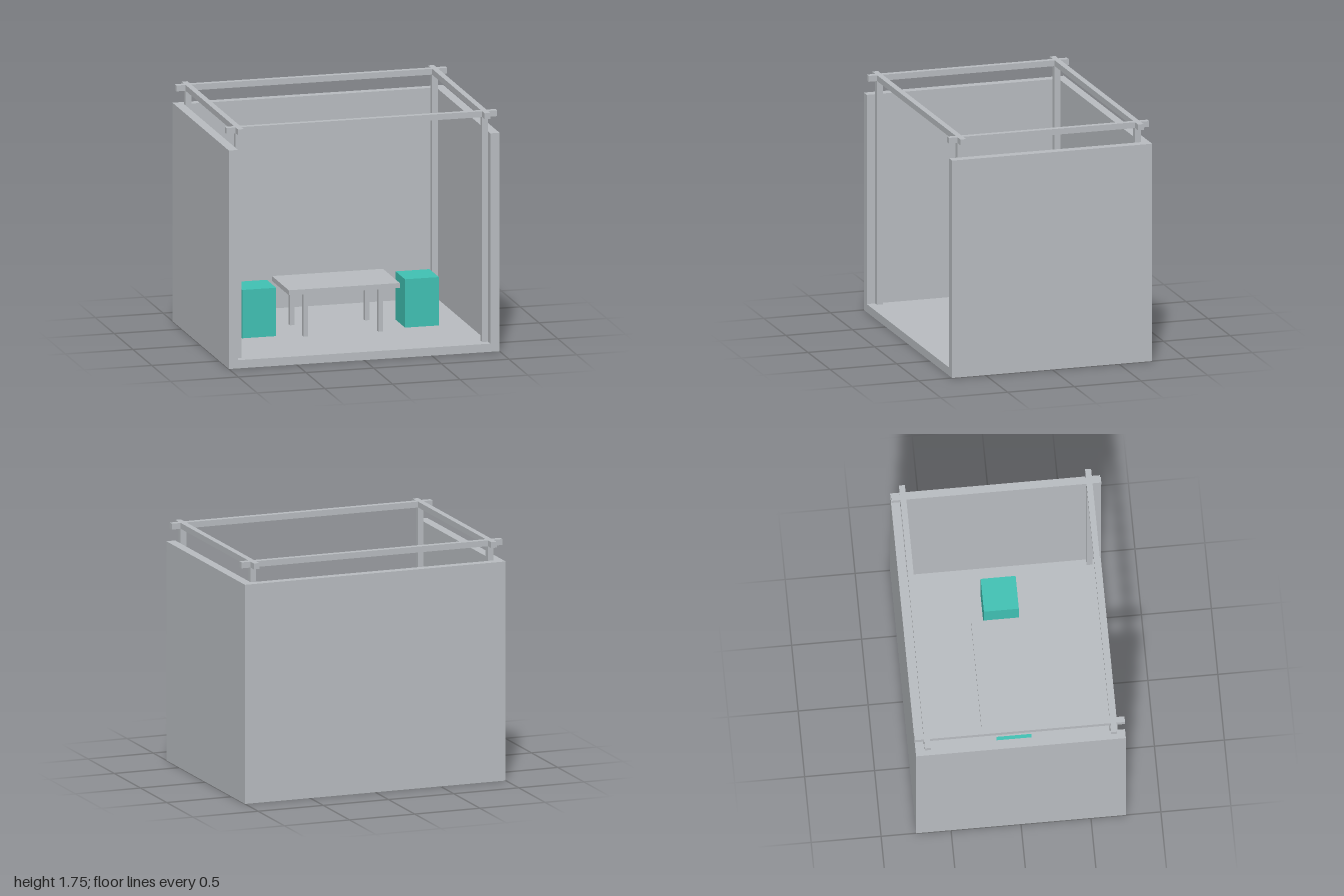
import * as THREE from 'three';

export function createModel() {
  const model = new THREE.Group();
  model.name = 'booth';
  const grey = new THREE.MeshStandardMaterial({ color: 0xb8bcc0 });
  grey.name = 'light grey';
  const teal = new THREE.MeshStandardMaterial({ color: 0x40c1b3 });
  teal.name = 'teal';

  // Box given by its lower and upper corners
  function box(name, material, [x0, y0, z0], [x1, y1, z1], parent = model) {
    const mesh = new THREE.Mesh(new THREE.BoxGeometry(x1 - x0, y1 - y0, z1 - z0), material);
    mesh.position.set((x0 + x1) / 2, (y0 + y1) / 2, (z0 + z1) / 2);
    mesh.name = name;
    parent.add(mesh);
    return mesh;
  }
  // Box given by its centre in plan, its plan size and its height range
  function column(name, material, x, z, w, d, y0, y1, parent) {
    return box(name, material, [x - w / 2, y0, z - d / 2], [x + w / 2, y1, z + d / 2], parent);
  }

  const W = 1, D = 0.75, floorTop = 0.06, wallTop = 1.6;
  const inX = 0.932, inZ = 0.687;

  // Shell: floor, back wall and two side walls, open at the front and top
  box('floor', grey, [-W, 0, -D], [W, floorTop, D]);
  box('backWall', grey, [-inX, floorTop, -D], [inX, wallTop, -inZ]);
  box('rightWall', grey, [-W, floorTop, -D], [-inX, wallTop, D]);
  box('leftWall', grey, [inX, floorTop, -D], [W, wallTop, D]);

  // Corner posts and the crossing beams they carry
  const frame = new THREE.Group();
  frame.name = 'frame';
  model.add(frame);
  const t = 0.043, px = inX - t / 2, pz = inZ - t / 2;
  const beamBottom = 1.707, beamTop = 1.75;
  for (const s of [-1, 1]) {
    column('sideBeam', grey, s * px, 0, t, 2 * D, beamBottom, beamTop, frame);
    column('crossBeam', grey, 0, s * pz, 2 * W, t, beamBottom, beamTop, frame);
    for (const r of [-1, 1]) column('post', grey, s * px, r * pz, t, t, floorTop, beamBottom, frame);
  }

  // Table on four legs
  const table = new THREE.Group();
  table.name = 'table';
  model.add(table);
  const zc = -0.003, seatTop = 0.414, tableUnder = 0.378;
  column('tableTop', grey, 0, zc, 0.82, 0.446, tableUnder, seatTop, table);
  for (const s of [-1, 1]) for (const r of [-1, 1]) {
    column('tableLeg', grey, s * 0.277, zc + r * 0.178, 0.034, 0.034, floorTop, tableUnder, table);
  }

  // Block stools at each end of the table
  for (const s of [-1, 1]) column('stool', teal, s * 0.601, zc, 0.25, 0.25, floorTop, seatTop);

  return model;
}
